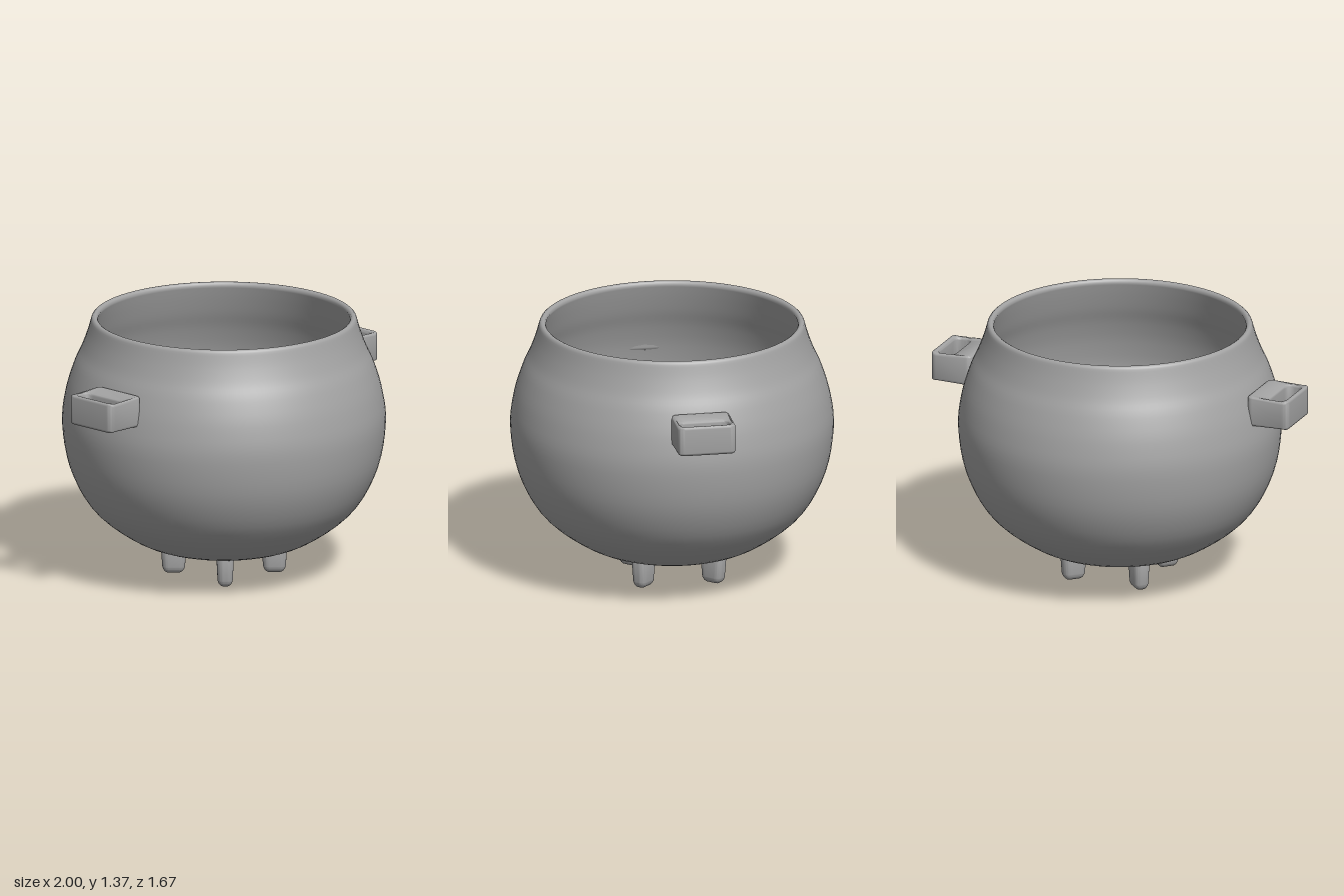
import * as THREE from 'three';
import { toCreasedNormals } from 'three/addons/utils/BufferGeometryUtils.js';
import { RoundedBoxGeometry } from 'three/addons/geometries/RoundedBoxGeometry.js';

const iron = new THREE.MeshStandardMaterial({ color: 0xa3a3a3 });
iron.name = 'grey iron';

const vectors = (pairs) => pairs.map(([x, y]) => new THREE.Vector2(x, y));

// Rounded rectangle path in the x/z plane of a handle
function roundedRect(path, x0, x1, halfZ, r) {
  path.moveTo(x0 + r, -halfZ);
  path.lineTo(x1 - r, -halfZ);
  path.quadraticCurveTo(x1, -halfZ, x1, -halfZ + r);
  path.lineTo(x1, halfZ - r);
  path.quadraticCurveTo(x1, halfZ, x1 - r, halfZ);
  path.lineTo(x0 + r, halfZ);
  path.quadraticCurveTo(x0, halfZ, x0, halfZ - r);
  path.lineTo(x0, -halfZ + r);
  path.quadraticCurveTo(x0, -halfZ, x0 + r, -halfZ);
  return path;
}

// Pot: outer belly, rolled rim and inner wall in one turned profile
function makePot() {
  const outer = new THREE.SplineCurve(vectors([
    [0, 0.105], [0.15, 0.112], [0.3, 0.14], [0.48, 0.205], [0.68, 0.36], [0.795, 0.57],
    [0.835, 0.8], [0.817, 0.97], [0.775, 1.11], [0.735, 1.2], [0.706, 1.28], [0.686, 1.35],
  ])).getPoints(48);
  const rim = vectors([[0.682, 1.36], [0.674, 1.367], [0.664, 1.367], [0.655, 1.362]]);
  const inner = new THREE.SplineCurve(vectors([
    [0.65, 1.35], [0.67, 1.28], [0.7, 1.19], [0.74, 1.09], [0.777, 0.96], [0.795, 0.8],
    [0.757, 0.59], [0.65, 0.39], [0.46, 0.245], [0.3, 0.185], [0.15, 0.16], [0, 0.152],
  ])).getPoints(48);
  const profile = [...outer, ...rim, ...inner];
  profile[0].x = profile[profile.length - 1].x = 0;
  return new THREE.LatheGeometry(profile, 96);
}

// Handle: a lug with a vertical opening, slightly waisted in height
function makeHandle() {
  const shape = roundedRect(new THREE.Shape(), 0.77, 1, 0.152, 0.035);
  shape.holes.push(roundedRect(new THREE.Path(), 0.882, 0.97, 0.128, 0.04));
  const depth = 0.12;
  const geometry = new THREE.ExtrudeGeometry(shape, {
    depth, curveSegments: 8, bevelEnabled: true, bevelSegments: 4,
    bevelSize: 0.012, bevelThickness: 0.015, bevelOffset: -0.012,
  });
  geometry.translate(0, 0, -depth / 2).rotateX(-Math.PI / 2);
  const p = geometry.attributes.position;
  for (let i = 0; i < p.count; i++) {
    const t = (p.getX(i) - 0.9) / 0.1;
    p.setY(i, 1.038 + p.getY(i) * (0.94 + 0.12 * Math.min(t * t, 1)));
  }
  return toCreasedNormals(geometry, 0.9);
}

// Foot: a rounded stub, long towards the pot's axis and narrower at the ground
function makeFoot() {
  const geometry = new RoundedBoxGeometry(0.135, 0.185, 0.09, 5, 0.035);
  geometry.translate(0, 0.0925, 0);
  const p = geometry.attributes.position;
  for (let i = 0; i < p.count; i++) {
    const taper = 0.8 + 0.2 * Math.min(p.getY(i) / 0.1, 1);
    p.setX(i, p.getX(i) * taper);
    p.setZ(i, p.getZ(i) * taper);
  }
  geometry.computeVertexNormals();
  return toCreasedNormals(geometry, 1);
}

export function createModel() {
  const model = new THREE.Group();
  model.name = 'cauldron';

  const add = (name, geometry) => {
    const mesh = new THREE.Mesh(geometry, iron);
    mesh.name = name;
    model.add(mesh);
    return mesh;
  };

  add('pot', makePot());

  const handle = makeHandle();
  add('leftHandle', handle);
  add('rightHandle', handle).rotation.y = Math.PI;

  // Four feet on the diagonals
  const foot = makeFoot();
  ['frontLeftFoot', 'backLeftFoot', 'backRightFoot', 'frontRightFoot'].forEach((name, i) => {
    const angle = -Math.PI / 4 + i * Math.PI / 2;
    const mesh = add(name, foot);
    mesh.position.set(0.26 * Math.cos(angle), 0, -0.26 * Math.sin(angle));
    mesh.rotation.y = angle;
  });

  return model;
}
